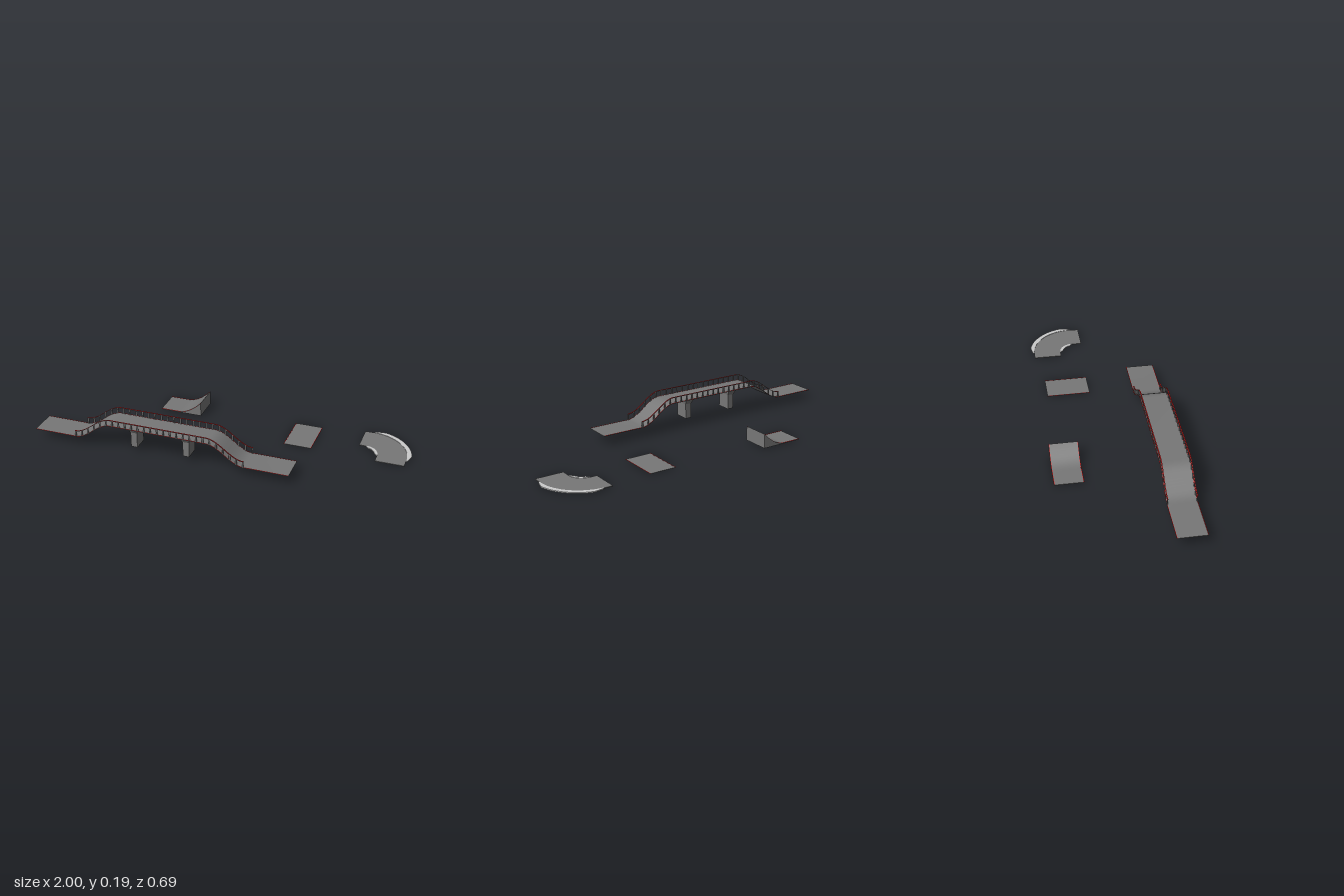
import * as THREE from 'three';
import { toCreasedNormals } from 'three/addons/utils/BufferGeometryUtils.js';

const asphalt = new THREE.MeshStandardMaterial({ color: 0x777777 });
const red = new THREE.MeshStandardMaterial({ color: 0xd82020 });
const grey = new THREE.MeshStandardMaterial({ color: 0xcccccc });

function add(parent, name, geometry, material, x = 0, y = 0, z = 0) {
  const mesh = new THREE.Mesh(geometry, material);
  mesh.name = name;
  mesh.position.set(x, y, z);
  parent.add(mesh);
  return mesh;
}

// Extrudes an outline in x/y from z0 to z1
function slab(points, z0, z1) {
  const g = new THREE.ExtrudeGeometry(new THREE.Shape(points), { depth: z1 - z0, bevelEnabled: false });
  g.translate(0, 0, z0);
  return toCreasedNormals(g, 0.5);
}

// Band of the given thickness hanging below a profile raised by lift
function band(profile, lift, thickness, z0, z1) {
  const top = profile.map(p => new THREE.Vector2(p.x, p.y + lift));
  const bottom = profile.map(p => new THREE.Vector2(p.x, p.y + lift - thickness)).reverse();
  return slab([...bottom, ...top], z0, z1);
}

// Bridge height: flat top, cosine slopes, flat approaches
const MID = -0.2725, LOW = 0.056, HIGH = 0.158;
function deckHeight(x) {
  const t = THREE.MathUtils.clamp((Math.abs(x - MID) - 0.2725) / 0.212, 0, 1);
  return LOW + (HIGH - LOW) * (0.5 + 0.5 * Math.cos(Math.PI * t));
}
function deckProfile(half) {
  const pts = [];
  const n = 16;
  if (half > 0.4845) pts.push(new THREE.Vector2(MID - half, LOW));
  for (let i = 0; i <= n; i++) {
    const x = MID - 0.4845 + 0.212 * i / n;
    pts.push(new THREE.Vector2(x, deckHeight(x)));
  }
  for (let i = 0; i <= n; i++) {
    const x = MID + 0.2725 + 0.212 * i / n;
    pts.push(new THREE.Vector2(x, deckHeight(x)));
  }
  if (half > 0.4845) pts.push(new THREE.Vector2(MID + half, LOW));
  return pts;
}

function createBridge() {
  const bridge = new THREE.Group();
  bridge.name = 'bridge';
  bridge.position.z = 0.266;
  const W = 0.079;
  const road = deckProfile(0.7275);
  const railPath = deckProfile(0.4845);
  add(bridge, 'deck', band(road, 0, 0.003, -W, W), asphalt);

  for (const s of [-1, 1]) {
    const span = w => s > 0 ? [W - w, W] : [-W, -W + w];
    add(bridge, 'deckEdgeStripe', band(road, 0.0007, 0.0007, ...span(0.003)), red);
    add(bridge, 'handrail', band(railPath, 0.034, 0.003, ...span(0.006)), asphalt);
    add(bridge, 'handrailStripe', band(railPath, 0.0347, 0.0007, ...span(0.006)), red);
    // Railing posts
    const count = 27;
    for (let i = 0; i < count; i++) {
      const x = MID - 0.4805 + 0.961 * i / (count - 1);
      add(bridge, 'railingPost', new THREE.BoxGeometry(0.008, 0.034, 0.005), asphalt,
        x, deckHeight(x) + 0.016, s * (W - 0.003));
    }
  }

  // Piers: column with a cap flaring out below the deck
  for (const x of [-0.422, -0.122]) {
    const pier = new THREE.Group();
    pier.name = 'pier';
    pier.position.x = x;
    bridge.add(pier);
    add(pier, 'column', new THREE.BoxGeometry(0.036, 0.088, 0.086), asphalt, 0, 0.079, 0);
    const cap = new THREE.BoxGeometry(0.056, 0.034, 0.13);
    const p = cap.attributes.position;
    for (let i = 0; i < p.count; i++) {
      if (p.getY(i) < 0) p.setXYZ(i, p.getX(i) * 0.72, p.getY(i), p.getZ(i) * 0.68);
    }
    cap.computeVertexNormals();
    add(pier, 'pierCap', cap, asphalt, 0, 0.139, 0);
  }
  return bridge;
}

// Jump ramp: flat lead-in, then a concave curve up to a vertical back
function createRamp() {
  const ramp = new THREE.Group();
  ramp.name = 'ramp';
  const profile = [new THREE.Vector2(-0.472, 0.008)];
  for (let i = 0; i <= 12; i++) {
    const t = i / 12;
    profile.push(new THREE.Vector2(-0.36 + 0.131 * t, 0.008 + 0.077 * Math.pow(t, 1.8)));
  }
  const base = [new THREE.Vector2(-0.472, 0.004), new THREE.Vector2(-0.229, 0.004)];
  add(ramp, 'rampBody', slab([...base, ...profile.slice().reverse()], -0.345, -0.187), asphalt);
  for (const z of [-0.345, -0.191]) {
    add(ramp, 'rampEdgeStripe', band(profile, 0.0007, 0.0007, z, z + 0.004), red);
  }
  return ramp;
}

// Straight road plate
function createStraight() {
  const plate = new THREE.Group();
  plate.name = 'straightRoad';
  plate.position.set(0.388, 0, -0.172);
  add(plate, 'roadPlate', new THREE.BoxGeometry(0.156, 0.002, 0.244), asphalt, 0, 0.001, 0);
  for (const s of [-1, 1]) {
    add(plate, 'roadEdgeStripe', new THREE.BoxGeometry(0.003, 0.0007, 0.244), red, s * 0.0765, 0.0023, 0);
  }
  return plate;
}

// Flat plan shape (x, -z) lifted to y0 with a thickness
function planSlab(shape, y0, thickness) {
  const g = new THREE.ExtrudeGeometry(shape, { depth: thickness, bevelEnabled: false, curveSegments: 24 });
  g.rotateX(-Math.PI / 2);
  g.translate(0, y0, 0);
  return toCreasedNormals(g, 0.5);
}

// Quarter-turn road with kerbs inside and outside
function createCurve() {
  const curve = new THREE.Group();
  curve.name = 'curvedRoad';
  curve.position.set(0.745, 0, -0.092);
  const R = 0.236, r = 0.077;
  const road = new THREE.Shape();
  road.moveTo(-0.04, r);
  road.lineTo(-0.04, R);
  road.lineTo(0, R);
  road.absarc(0, 0, R, Math.PI / 2, 0, true);
  road.lineTo(R, -0.06);
  road.lineTo(r, -0.06);
  road.lineTo(r, 0);
  road.absarc(0, 0, r, 0, Math.PI / 2, false);
  add(curve, 'curvedDeck', planSlab(road, 0.003, 0.004), asphalt);

  // Kerb ring segment that swells from its ends to full width
  function kerb(name, radius, width, a0, a1) {
    const near = [], far = [];
    for (let i = 0; i <= 20; i++) {
      const t = i / 20;
      const a = THREE.MathUtils.degToRad(a0 + (a1 - a0) * t);
      const swell = Math.min(1, 0.25 + 5 * Math.min(t, 1 - t));
      const q = radius + width * swell;
      near.push(new THREE.Vector2(radius * Math.cos(a), radius * Math.sin(a)));
      far.push(new THREE.Vector2(q * Math.cos(a), q * Math.sin(a)));
    }
    add(curve, name, planSlab(new THREE.Shape([...near, ...far.reverse()]), 0.003, 0.006), grey);
  }
  kerb('outerKerb', R, 0.026, -2, 87);
  kerb('innerKerb', r, -0.017, 0, 90);
  return curve;
}

export function createModel() {
  const model = new THREE.Group();
  model.name = 'trackPieces';
  model.add(createBridge(), createRamp(), createStraight(), createCurve());
  return model;
}
